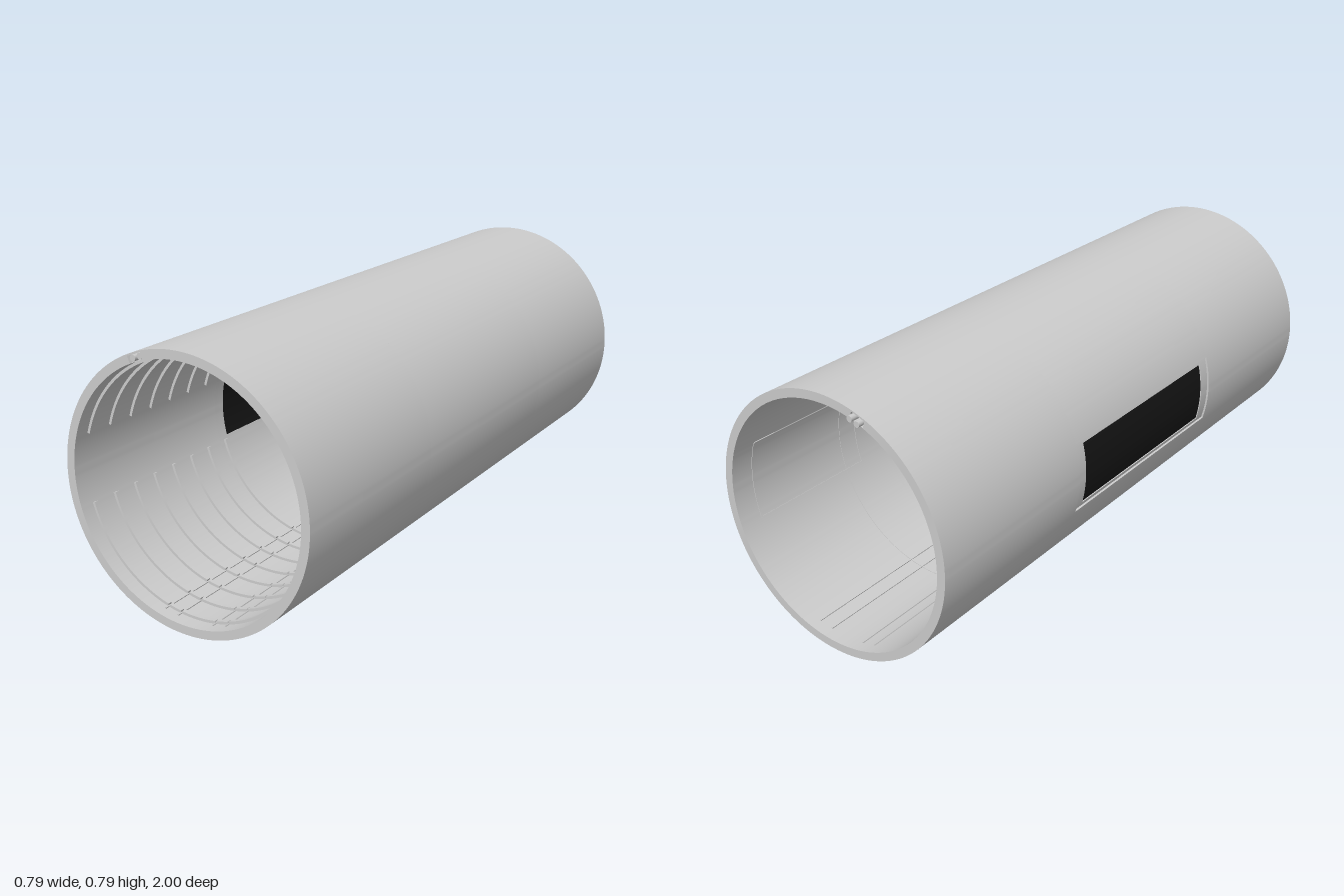
import * as THREE from 'three';
import { toCreasedNormals } from 'three/addons/utils/BufferGeometryUtils.js';

const R_OUT = 0.396, R_IN = 0.37, CY = 0.397;
const Z_BACK = -0.985, Z_FRONT = 1;
const CHANNEL = { angle: Math.PI * 110 / 180, r: 0.381, w: 0.046, h: 0.02 };

export function createModel() {
  const model = new THREE.Group();
  const tube = new THREE.Group();
  tube.position.y = CY;
  model.add(tube);
  const grey = new THREE.MeshStandardMaterial({ color: 0xcccccc });
  const black = new THREE.MeshStandardMaterial({ color: 0x151515 });

  const add = (name, geometry, material = grey) => {
    const mesh = new THREE.Mesh(geometry, material);
    mesh.name = name;
    tube.add(mesh);
    return mesh;
  };

  // Point in the channel's own frame (u along the wall, v outward)
  const channelPoint = (u, v) => {
    const { angle, r } = CHANNEL, c = Math.cos(angle), s = Math.sin(angle);
    return new THREE.Vector2(c * (r + v) + s * u, s * (r + v) - c * u);
  };

  // Curved slab between two radii, two angles and two z positions
  const slab = (name, r0, r1, a0, a1, z0, z1, { material = grey, channel = false } = {}) => {
    const shape = new THREE.Shape();
    const full = a1 - a0 > Math.PI * 2 - 1e-6;
    shape.absarc(0, 0, r1, a0, a1, false);
    if (full) {
      shape.holes.push(new THREE.Path().absarc(0, 0, r0, 0, Math.PI * 2, true));
    } else {
      shape.absarc(0, 0, r0, a1, a0, true);
      shape.closePath();
    }
    if (channel) {
      const { w, h } = CHANNEL;
      shape.holes.push(new THREE.Path([[-1, -1], [-1, 1], [1, 1], [1, -1]]
        .map(([u, v]) => channelPoint(u * w / 2, v * h / 2))));
    }
    const geometry = new THREE.ExtrudeGeometry(shape, {
      depth: z1 - z0, bevelEnabled: false,
      curveSegments: Math.max(4, Math.ceil((a1 - a0) * 20)),
    });
    geometry.translate(0, 0, z0);
    return add(name, toCreasedNormals(geometry, 0.5), material);
  };

  const TAU = Math.PI * 2, FRAME = 0.28, OPEN = 0.25;

  // Main wall: two closed ends and a middle that leaves room for the window
  slab('frontWall', R_IN, R_OUT, 0, TAU, 0.38, Z_FRONT, { channel: true });
  slab('backWall', R_IN, R_OUT, 0, TAU, Z_BACK, -0.38, { channel: true });
  slab('middleWall', R_IN, R_OUT, FRAME - Math.PI, Math.PI - FRAME, -0.38, 0.38, { channel: true });

  // Recessed frame around the window, with the dark pane inside it
  for (const s of [-1, 1]) {
    const a = Math.PI + s * (FRAME + OPEN) / 2, d = (FRAME - OPEN) / 2;
    slab('windowFrameRail', R_IN, 0.39, a - d, a + d, -0.38, 0.38);
    slab('windowFrameEnd', R_IN, 0.39, Math.PI - OPEN, Math.PI + OPEN,
      s > 0 ? 0.34 : -0.38, s > 0 ? 0.38 : -0.34);
  }
  slab('windowPane', 0.371, 0.387, Math.PI - OPEN, Math.PI + OPEN, -0.34, 0.34, { material: black });

  // Inner ribs near the front, interrupted beside the window and at the floor rails
  const floor = Math.PI * 1.5, gap = 0.006;
  const breaks = [-0.28, -0.16, 0.16, 0.28].map((a) => floor + a);
  const starts = [Math.PI + FRAME, ...breaks.map((a) => a + gap)];
  const ends = [...breaks.map((a) => a - gap), Math.PI * 3 - FRAME];
  for (let i = 0; i < 8; i++) {
    const z = 0.95 - i * 0.085;
    starts.forEach((a, k) => slab('innerRib', 0.362, R_IN + 0.001, a, ends[k], z - 0.006, z + 0.006));
  }
  slab('backSeam', 0.3685, R_IN + 0.001, 0, TAU, -0.56, -0.555);

  // Floor rails along the tube
  for (const a of breaks) slab('floorRail', 0.367, R_IN + 0.001, a - 0.005, a + 0.005, -0.95, 0.97);

  // Thin outlined panels on both side walls at the back
  for (const mid of [0, Math.PI]) {
    for (const s of [-1, 1]) {
      const a = mid + s * 0.33, z = -0.7 + s * 0.21;
      slab('sidePanelEdge', 0.368, R_IN + 0.001, a - 0.006, a + 0.006, -0.91, -0.49);
      slab('sidePanelEnd', 0.368, R_IN + 0.001, mid - 0.33, mid + 0.33, z - 0.003, z + 0.003);
    }
  }

  // Ceiling strips at the back
  for (let i = 0; i < 4; i++) {
    const a = 1.72 + i * 0.05;
    slab('ceilingStrip', 0.368, R_IN + 0.001, a - 0.006, a + 0.006, -0.87, -0.4);
  }

  // Two cables running through the wall channel and out at the back
  for (const s of [-1, 1]) {
    const p = channelPoint(s * 0.0125, 0);
    const geometry = new THREE.CylinderGeometry(0.009, 0.009, 1.995, 16).rotateX(Math.PI / 2);
    add('cable', geometry).position.set(p.x, p.y, -0.0025);
  }

  return model;
}
